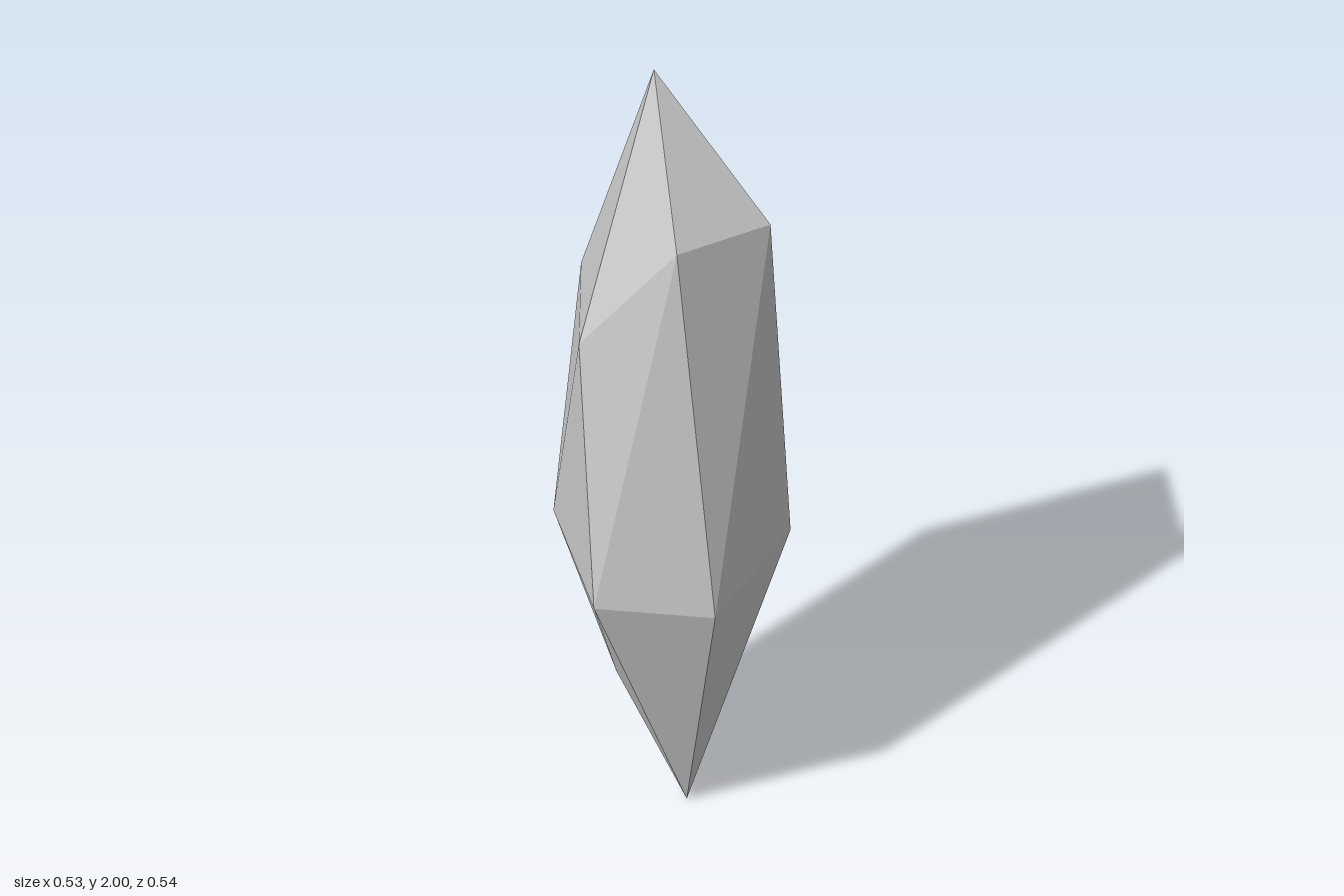
import * as THREE from 'three';

export function createModel() {
  const group = new THREE.Group();

  // Cross-sections of the crystal, each running front, right, back, left
  const tip = [-0.03, 2, -0.03];
  const shoulder = [
    [0.084, 1.66, 0.207], [0.255, 1.635, 0.005], [0.02, 1.5, -0.243],
    [-0.23, 1.34, -0.14], [-0.157, 1.34, 0.171],
  ];
  const waist = [
    [-0.097, 0.668, 0.268], [0.18, 0.662, 0.228], [0.266, 0.67, -0.14],
    [0.018, 0.665, -0.27], [-0.268, 0.708, -0.031],
  ];
  const point = [0.066, 0, 0.042];
  const chip = [-0.125, 0.26, -0.055]; // chipped corner beside the lower point

  const positions = [];
  const facet = (a, b, c) => positions.push(...a, ...b, ...c);

  for (let i = 0; i < 5; i++) {
    const j = (i + 1) % 5;
    // Crown
    facet(tip, shoulder[i], shoulder[j]);
    // Long sides
    facet(shoulder[i], waist[i], waist[j]);
    facet(shoulder[i], waist[j], shoulder[j]);
    // Lower taper, meeting the point or the chipped corner
    facet(waist[i], i < 3 ? point : chip, waist[j]);
  }
  // Facets joining the chip to the point
  facet(waist[3], point, chip);
  facet(chip, point, waist[0]);

  const geometry = new THREE.BufferGeometry();
  geometry.setAttribute('position', new THREE.Float32BufferAttribute(positions, 3));
  geometry.computeVertexNormals();

  const crystal = new THREE.Mesh(
    geometry,
    new THREE.MeshStandardMaterial({ color: 0xcccccc, flatShading: true })
  );
  crystal.name = 'crystal';
  group.add(crystal);
  return group;
}
